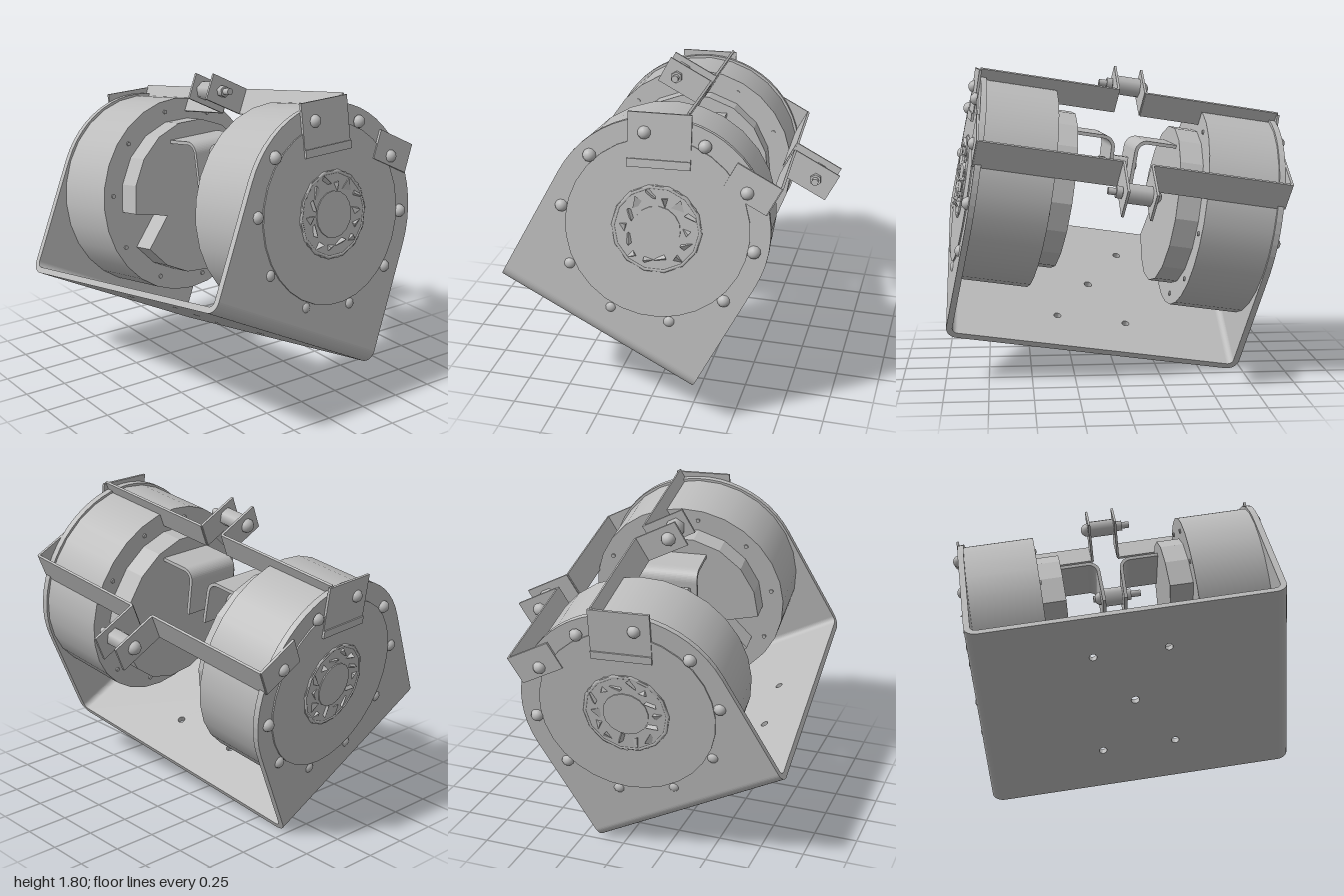
import * as THREE from 'three';

export function createModel() {
  const model = new THREE.Group();
  const metal = new THREE.MeshStandardMaterial({ color: 0xbcbcbc, side: THREE.DoubleSide });
  metal.name = 'plain grey metal';

  // Tilted frame: x across, y up the bracket arms, z along the bracket depth
  const X = new THREE.Vector3(0.984, 0.155, -0.085).normalize();
  const Z = new THREE.Vector3(0.004, 0.46, 0.888).normalize();
  const Y = new THREE.Vector3().crossVectors(Z, X).normalize();
  Z.crossVectors(X, Y);
  const unit = new THREE.Group();
  unit.name = 'tiltedUnit';
  unit.quaternion.setFromRotationMatrix(new THREE.Matrix4().makeBasis(X, Y, Z));
  unit.position.set(0.142, 0.41, 0.318);
  model.add(unit);

  const HALF = 0.879, DEPTH = 0.608, T = 0.035, AXIS = 0.711, BEND = 0.07;
  const LEVEL = 0.478; // turn about x that sets a part upright
  const add = (parent, name, geo, x = 0, y = 0, z = 0) => {
    const m = new THREE.Mesh(geo, metal);
    m.name = name;
    m.position.set(x, y, z);
    parent.add(m);
    return m;
  };
  const box = (w, h, d) => new THREE.BoxGeometry(w, h, d);
  const rod = (r, len, n) => new THREE.CylinderGeometry(r, r, len, n).rotateZ(-Math.PI / 2);
  const extrude = (shape, depth, curveSegments) =>
    new THREE.ExtrudeGeometry(shape, { depth, bevelEnabled: false, curveSegments });
  // Round head bulging towards +x or -x
  const dome = (r, s) =>
    new THREE.SphereGeometry(r, 10, 5, 0, Math.PI * 2, 0, Math.PI / 2).rotateZ(-s * Math.PI / 2);
  const hole = (shape, x, y, r) => {
    const p = new THREE.Path();
    p.absarc(x, y, r, 0, Math.PI * 2, true);
    shape.holes.push(p);
  };

  // Base plate with five holes
  const baseW = HALF - BEND;
  const base = new THREE.Shape([
    new THREE.Vector2(-baseW, -DEPTH), new THREE.Vector2(baseW, -DEPTH),
    new THREE.Vector2(baseW, DEPTH), new THREE.Vector2(-baseW, DEPTH)]);
  hole(base, 0, 0, 0.024);
  for (const i of [-1, 1]) for (const j of [-1, 1]) hole(base, i * 0.21, j * 0.34, 0.022);
  add(unit, 'basePlate', extrude(base, T, 8).rotateX(Math.PI / 2).translate(0, T, 0));

  // Arm plate outline: straight sides, round top
  const arm = new THREE.Shape();
  arm.moveTo(-DEPTH, BEND);
  arm.lineTo(DEPTH, BEND);
  arm.lineTo(DEPTH, AXIS);
  arm.absarc(0, AXIS, DEPTH, 0, Math.PI, false);
  arm.closePath();

  // Rounded bend between base and arm
  const bend = new THREE.Shape();
  bend.absarc(0, 0, BEND, -Math.PI / 2, 0, false);
  bend.absarc(0, 0, BEND - T, 0, -Math.PI / 2, true);
  bend.closePath();

  // Inner drum outline with a V notch at the lower front
  const notched = new THREE.Shape();
  const notch = -Math.PI / 4, open = 0.26;
  notched.moveTo(0.25 * Math.cos(notch), 0.25 * Math.sin(notch));
  for (let i = 0; i <= 16; i++) {
    const a = notch + open + i * (2 * Math.PI - 2 * open) / 16;
    notched.lineTo(0.468 * Math.cos(a), 0.468 * Math.sin(a));
  }
  notched.closePath();

  // L-shaped inner sheet: out from the drum, round the corner, then down
  const sheet = new THREE.Shape();
  sheet.moveTo(0.31, 0.37);
  sheet.lineTo(0.13, 0.37);
  sheet.absarc(0.13, 0.3, 0.07, Math.PI / 2, Math.PI, false);
  sheet.lineTo(0.055, 0.1);
  sheet.lineTo(0.075, 0.1);
  sheet.lineTo(0.08, 0.3);
  sheet.absarc(0.13, 0.3, 0.05, Math.PI, Math.PI / 2, true);
  sheet.lineTo(0.31, 0.35);
  sheet.closePath();

  // Cross bolt with spacer, nut and round head
  const crossBolt = (parent, gap, y, z) => {
    add(parent, 'spacer', rod(0.055, 2 * gap, 6), 0, y, z);
    add(parent, 'clampBolt', rod(0.02, 0.29, 10), 0.025, y, z);
    add(parent, 'clampNut', rod(0.034, 0.035, 6), gap + 0.028, y, z);
    add(parent, 'clampBoltHead', dome(0.042, -1), -gap - 0.007, y, z);
  };

  // Upright holder for the two inner sheets and their bolt
  const holder = new THREE.Group();
  holder.name = 'innerSheets';
  holder.position.y = AXIS;
  holder.rotation.x = LEVEL;
  unit.add(holder);
  crossBolt(holder, 0.065, 0.2, 0);

  for (const s of [-1, 1]) {
    const side = new THREE.Group();
    side.name = s > 0 ? 'leftSide' : 'rightSide';
    unit.add(side);

    const corner = extrude(bend, 2 * DEPTH, 6);
    if (s < 0) corner.rotateY(Math.PI).translate(0, 0, 2 * DEPTH);
    add(side, 'bracketBend', corner, s * baseW, BEND, -DEPTH);
    add(side, 'armPlate', extrude(arm, T, 14).rotateY(-Math.PI / 2), s > 0 ? HALF : T - HALF);

    // Drum, stepped inner drum and rear disc
    const cyl = (name, r, from, to, n) =>
      add(side, name, rod(r, to - from, n), s * (HALF - (from + to) / 2), AXIS, 0);
    cyl('drum', 0.595, T, 0.445, 28);
    cyl('faceDisc', 0.5, -0.008, 0.005, 30);
    add(side, 'innerDrum', extrude(notched, 0.14, 1).rotateY(-Math.PI / 2),
      s > 0 ? HALF - 0.44 : 0.58 - HALF, AXIS, 0);

    // Hub with a ring and a crown of small angular teeth
    cyl('hub', 0.245, -0.014, 0, 12);
    cyl('hubCentre', 0.13, -0.02, 0, 16);
    const ring = add(side, 'hubRing', new THREE.TorusGeometry(0.235, 0.012, 4, 14).rotateY(Math.PI / 2),
      s * (HALF + 0.01), AXIS, 0);
    ring.scale.x = 0.8;
    for (let i = 0; i < 14; i++) {
      const a = i * Math.PI * 2 / 14, r = 0.18 + 0.018 * (i % 3 - 1);
      const tooth = add(side, 'hubTooth', new THREE.TetrahedronGeometry(0.045),
        s * (HALF + 0.004), AXIS + r * Math.sin(a), r * Math.cos(a));
      tooth.rotation.set(a, i * 0.9, i * 0.6);
    }

    // Ten round bolt heads outside, bolt ends on the inner face
    for (let k = 0; k < 10; k++) {
      const a = (-18 + 36 * k) * Math.PI / 180;
      const y = AXIS + 0.53 * Math.sin(a), z = 0.53 * Math.cos(a);
      add(side, 'boltHead', dome(0.037, s), s * (HALF - 0.006 + 0.018 * Math.sin(a)), y, z);
      add(side, 'boltEnd', rod(0.013, 0.012, 8), s * (HALF - 0.448), y, z);
    }

    // Inner sheet
    const g = extrude(sheet, 0.36, 6);
    if (s < 0) g.rotateY(Math.PI).translate(0, 0, 0.36);
    add(holder, 'innerSheet', g, 0, 0, -0.2);
  }

  // Strap: two halves with end tabs on the arms and flanges joined by a bolt
  const strap = (name, z, yLow, yHigh, out, flange, tab) => {
    const g = new THREE.Group();
    g.name = name;
    g.position.y = AXIS;
    unit.add(g);
    const y = (yLow + yHigh) / 2, h = yHigh - yLow, t = 0.014, gap = 0.08, end = HALF + 0.007;
    for (const s of [-1, 1]) {
      add(g, 'strapBand', box(end - gap, h, t), s * (end + gap) / 2, y, z);
      add(g, 'strapFlange', box(t, h, flange), s * gap, y, z + out * flange / 2);
      const plate = add(g, 'strapEndTab', box(t, tab.h, tab.d), s * end, tab.y, tab.z);
      plate.rotation.x = tab.turn;
      if (tab.lip) add(plate, 'tabLip', box(0.022, tab.lip, tab.d), s * 0.004, -(tab.h + tab.lip) / 2, 0);
    }
    crossBolt(g, gap, y, z + out * 0.185);
  };
  strap('topStrap', 0.16, 0.485, 0.64, 1, 0.27,
    { y: 0.45, z: 0.232, h: 0.25, d: 0.34, turn: LEVEL, lip: 0.045 });
  strap('backStrap', -0.455, 0.376, 0.544, -1, 0.295,
    { y: 0.46, z: -0.322, h: 0.168, d: 0.27, turn: 0 });

  return model;
}
